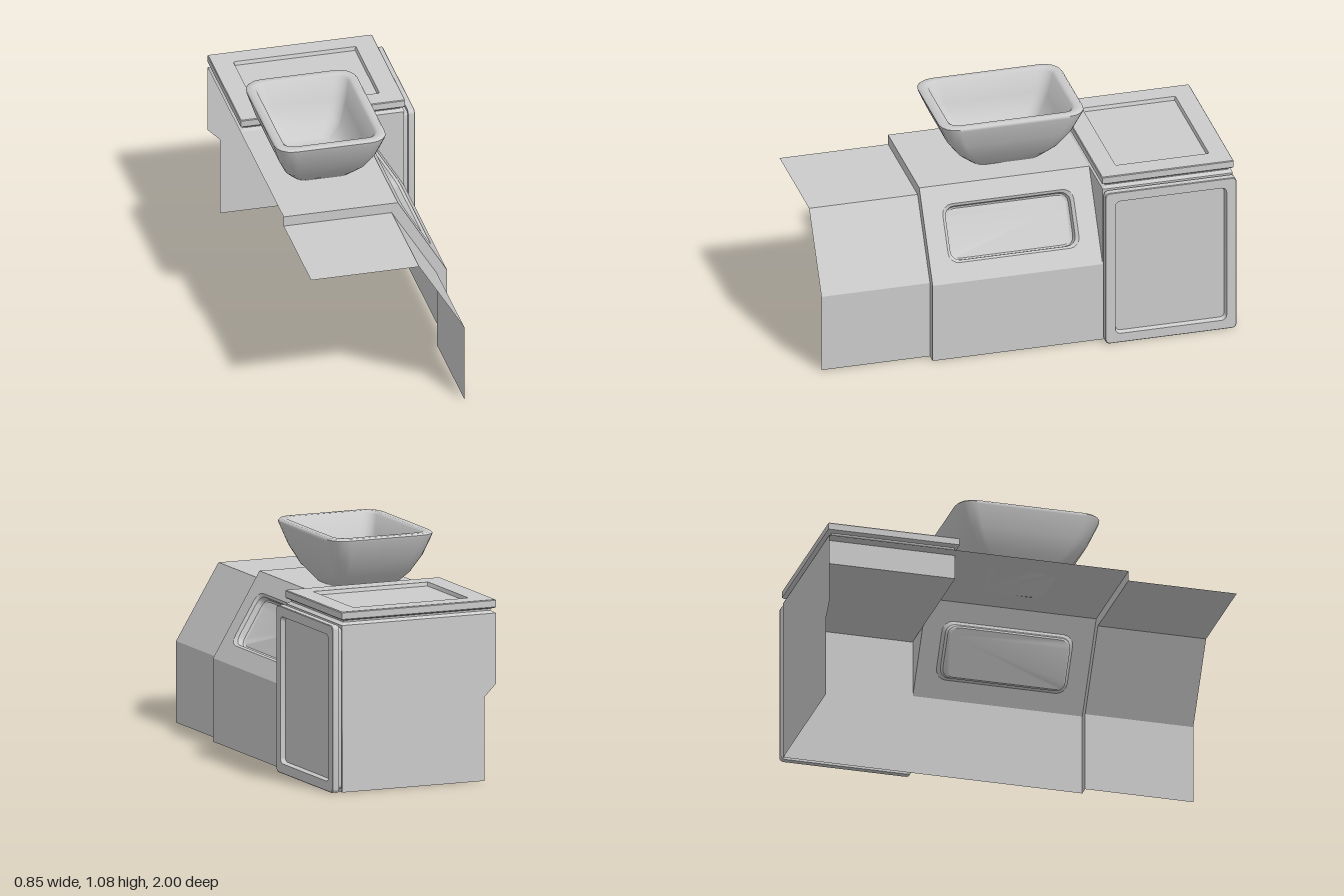
import * as THREE from 'three';
import { toCreasedNormals } from 'three/addons/utils/BufferGeometryUtils.js';

const material = new THREE.MeshStandardMaterial({ color: 0xcccccc, side: THREE.DoubleSide });

// Rounded rectangle, counter-clockwise, n + 1 points per corner
function roundedRect(hw, hh, r, n) {
  const points = [];
  [[1, 1], [-1, 1], [-1, -1], [1, -1]].forEach(([sx, sy], k) => {
    for (let i = 0; i <= n; i++) {
      const a = (k + i / n) * Math.PI / 2;
      points.push(new THREE.Vector2(sx * (hw - r) + r * Math.cos(a), sy * (hh - r) + r * Math.sin(a)));
    }
  });
  return points;
}

// Skin through rounded rectangles [halfWidth, halfHeight, radius, depth] along local z
function loft(rings, { n = 4, capStart = true, crease = 0.6 } = {}) {
  const pos = [], index = [], m = 4 * (n + 1);
  for (const [hw, hh, r, h] of rings) for (const p of roundedRect(hw, hh, r, n)) pos.push(p.x, p.y, h);
  for (let k = 0; k < rings.length - 1; k++) {
    for (let i = 0; i < m; i++) {
      const a = k * m + i, b = k * m + (i + 1) % m;
      index.push(a, b, b + m, a, b + m, a + m);
    }
  }
  const last = (rings.length - 1) * m;
  for (let i = 1; i < m - 1; i++) {
    if (capStart) index.push(0, i + 1, i);
    index.push(last, last + i, last + i + 1);
  }
  const g = new THREE.BufferGeometry();
  g.setAttribute('position', new THREE.Float32BufferAttribute(pos, 3));
  g.setIndex(index);
  return toCreasedNormals(g, crease);
}

// Open sheet following an xy profile from z0 to z1
function sheet(profile, z0, z1) {
  const pos = [];
  for (let i = 0; i < profile.length - 1; i++) {
    const [ax, ay] = profile[i], [bx, by] = profile[i + 1];
    pos.push(ax, ay, z0, ax, ay, z1, bx, by, z1, ax, ay, z0, bx, by, z1, bx, by, z0);
  }
  const g = new THREE.BufferGeometry();
  g.setAttribute('position', new THREE.Float32BufferAttribute(pos, 3));
  g.computeVertexNormals();
  return g;
}

// Flat face from xy corners at depth z
function face(corners, z) {
  const shape = new THREE.Shape(corners.map(([x, y]) => new THREE.Vector2(x, y)));
  return new THREE.ShapeGeometry(shape).translate(0, 0, z);
}

export function createModel() {
  const model = new THREE.Group();
  const add = (name, geometry, parent = model) => {
    const mesh = new THREE.Mesh(geometry, material);
    mesh.name = name;
    parent.add(mesh);
    return mesh;
  };

  // Counter: lower front section, step face and taller middle section
  const low = [[-0.425, 0.75], [0.1, 0.75], [0.32, 0.39], [0.32, 0]];
  const high = [[-0.425, 0.8], [0.13, 0.8], [0.37, 0.4], [0.37, 0]];
  add('frontCounter', sheet(low, 0.47, 1));
  add('counterTop', sheet(high.slice(0, 2), -0.36, 0.47));
  add('counterSide', sheet(high.slice(2), -0.36, 0.47));
  add('counterStep', face([...high, ...[...low].reverse()], 0.47));

  // Sloping panel with a recessed niche, laid out flat and then tilted
  const slope = new THREE.Group();
  slope.name = 'slopingPanel';
  slope.position.set(0.25, 0.6, 0.055);
  slope.rotation.set(0, Math.PI / 2, Math.atan2(0.24, 0.4), 'ZYX');
  model.add(slope);
  const hl = Math.hypot(0.24, 0.4) / 2;
  const panel = new THREE.Shape([[-0.415, -hl], [0.415, -hl], [0.415, hl], [-0.415, hl]]
    .map(([x, y]) => new THREE.Vector2(x, y)));
  panel.holes.push(new THREE.Path(roundedRect(0.32, 0.14, 0.05, 4).reverse()));
  add('slopeFace', new THREE.ShapeGeometry(panel), slope);
  add('niche', loft([
    [0.32, 0.14, 0.05, 0], [0.305, 0.128, 0.045, -0.012],
    [0.3, 0.126, 0.045, -0.04], [0.29, 0.118, 0.04, -0.047],
  ], { capStart: false }), slope);

  // Cabinet shell: side, back with notch, front corner and top box
  add('cabinetSide', sheet([[0.37, 0.8], [0.37, 0]], -0.99, -0.36));
  add('cabinetBack', face([[-0.365, 0], [0.37, 0], [0.37, 0.8], [-0.425, 0.8], [-0.425, 0.46], [-0.365, 0.4]], -0.995)
    .rotateY(0));
  add('cabinetFrontCorner', face([[0.13, 0.8], [0.37, 0.4], [0.37, 0.8]], -0.36));
  add('cabinetTopBox', new THREE.BoxGeometry(0.735, 0.12, 0.63).translate(0.0025, 0.74, -0.677));
  add('cabinetTop', sheet([[-0.425, 0.8], [0.37, 0.8]], -0.995, -0.36));

  // Lid on a narrow neck, with a sunken centre
  const lid = add('lid', loft([
    [0.398, 0.318, 0.004, 0], [0.38, 0.302, 0.004, 0.012], [0.38, 0.302, 0.004, 0.02],
    [0.395, 0.318, 0.004, 0.025], [0.4, 0.322, 0.004, 0.03], [0.4, 0.322, 0.004, 0.061],
    [0.397, 0.319, 0.004, 0.065], [0.298, 0.228, 0.008, 0.065], [0.293, 0.223, 0.008, 0.047],
  ], { n: 2 }));
  lid.position.set(-0.025, 0.8, -0.678);
  lid.rotation.x = -Math.PI / 2;

  // Framed door on the cabinet side
  const door = add('door', loft([
    [0.305, 0.385, 0.02, 0], [0.305, 0.385, 0.02, 0.02], [0.32, 0.4, 0.02, 0.02],
    [0.32, 0.4, 0.02, 0.05], [0.317, 0.397, 0.02, 0.053], [0.272, 0.352, 0.025, 0.053],
    [0.265, 0.345, 0.022, 0.03],
  ]));
  door.position.set(0.37, 0.4, -0.68);
  door.rotation.y = Math.PI / 2;

  // Basin: outer wall, rounded rim, inner wall and floor
  const basin = add('basin', loft([
    [0.135, 0.165, 0.05, 0], [0.195, 0.245, 0.065, 0.075], [0.235, 0.305, 0.075, 0.16],
    [0.268, 0.35, 0.085, 0.26], [0.27, 0.353, 0.085, 0.272], [0.262, 0.345, 0.08, 0.28],
    [0.235, 0.315, 0.06, 0.28], [0.222, 0.302, 0.055, 0.27], [0.2, 0.27, 0.055, 0.17],
    [0.16, 0.215, 0.05, 0.085], [0.11, 0.155, 0.045, 0.035],
  ], { crease: 1 }));
  basin.position.set(-0.15, 0.8, -0.003);
  basin.rotation.x = -Math.PI / 2;

  return model;
}
